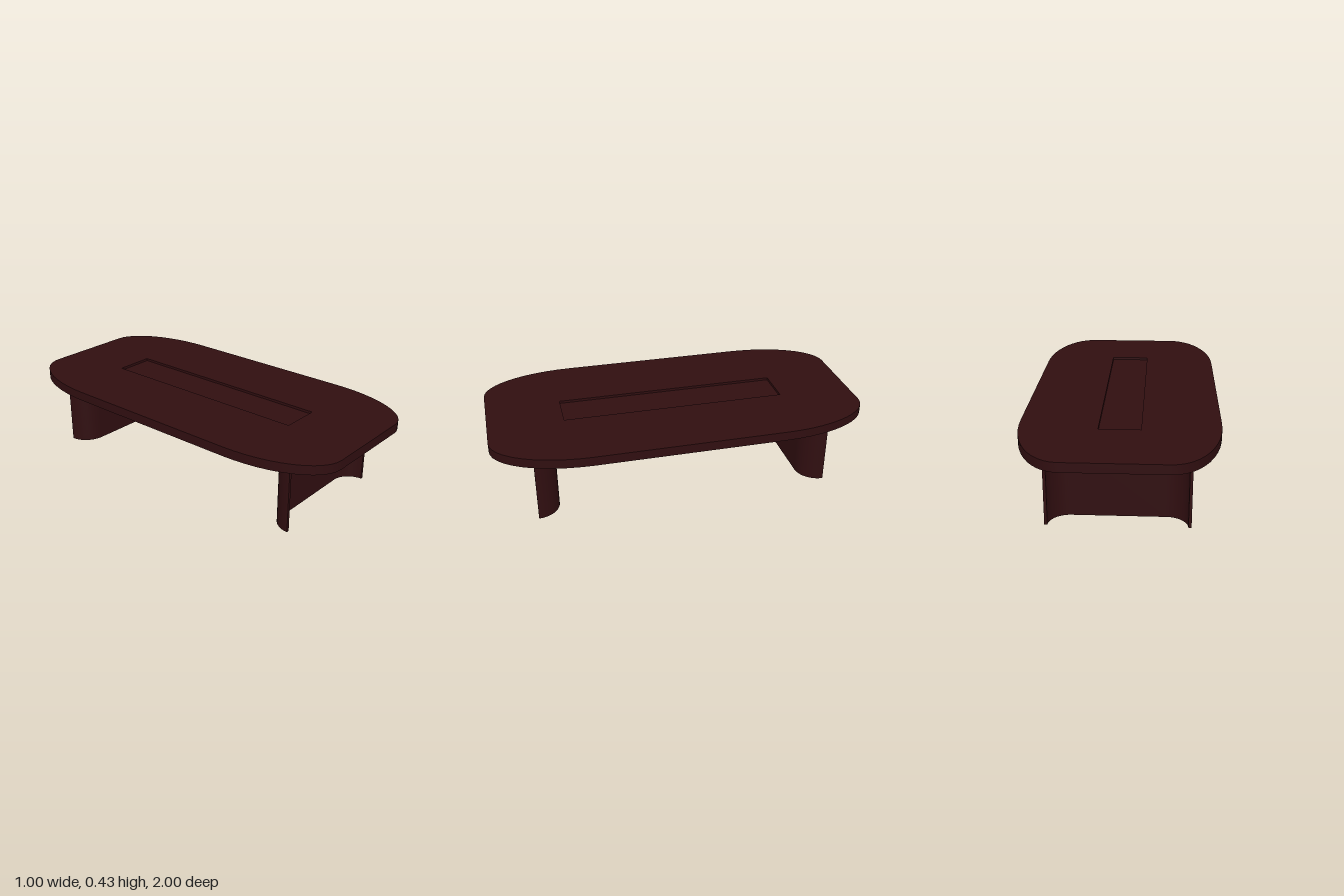
import * as THREE from 'three';
import { toCreasedNormals } from 'three/addons/utils/BufferGeometryUtils.js';

const wood = new THREE.MeshStandardMaterial({ color: 0x300e10 });
wood.name = 'darkMahogany';

const TOP = 0.426, UNDER = 0.377, RECESS = 0.013;

// Extrude a plan (shape x, y = world x, -z) upwards from y0 to y1
function slab(name, shape, y0, y1, curveSegments) {
  const extruded = new THREE.ExtrudeGeometry(shape, { depth: y1 - y0, bevelEnabled: false, curveSegments });
  extruded.rotateX(-Math.PI / 2);
  extruded.translate(0, y0, 0);
  const mesh = new THREE.Mesh(toCreasedNormals(extruded, 0.6), wood);
  mesh.name = name;
  return mesh;
}

// Oblong outline with elliptical corners
function topOutline() {
  const s = new THREE.Shape();
  const rx = 0.25, rz = 0.5, q = Math.PI / 2;
  s.moveTo(0.5, 0.5);
  s.absellipse(0.25, 0.5, rx, rz, 0, q, false);
  s.absellipse(-0.25, 0.5, rx, rz, q, 2 * q, false);
  s.absellipse(-0.25, -0.5, rx, rz, 2 * q, 3 * q, false);
  s.absellipse(0.25, -0.5, rx, rz, 3 * q, 4 * q, false);
  return s;
}

// Thin panel whose two ends curl through a quarter turn towards the table end
function legOutline() {
  const s = new THREE.Shape();
  const x = 0.235, z = 0.79, R = 0.12, r = 0.105, q = Math.PI / 2;
  s.moveTo(-x - R, -z);
  s.absarc(-x, -z, R, 2 * q, q, true);
  s.absarc(x, -z, R, q, 0, true);
  s.lineTo(x + r, -z);
  s.absarc(x, -z, r, 0, q, false);
  s.absarc(-x, -z, r, q, 2 * q, false);
  s.closePath();
  return s;
}

export function createModel() {
  const table = new THREE.Group();
  table.name = 'table';

  // Table top with a long opening in the middle
  const hx = 0.105, hz = 0.6;
  const outline = topOutline();
  outline.holes.push(new THREE.Path([
    new THREE.Vector2(-hx, -hz), new THREE.Vector2(-hx, hz),
    new THREE.Vector2(hx, hz), new THREE.Vector2(hx, -hz),
  ]));
  table.add(slab('tableTop', outline, UNDER, TOP, 6));

  // Sunken panel filling the opening
  const h = TOP - RECESS - UNDER;
  const inset = new THREE.Mesh(new THREE.BoxGeometry(hx * 2, h, hz * 2), wood);
  inset.name = 'sunkenPanel';
  inset.position.y = UNDER + h / 2;
  table.add(inset);

  // Curved legs, mirrored front to back
  const frontLeg = slab('frontLeg', legOutline(), 0, UNDER, 10);
  const backLeg = frontLeg.clone();
  backLeg.name = 'backLeg';
  backLeg.rotation.y = Math.PI;
  table.add(frontLeg, backLeg);

  return table;
}
